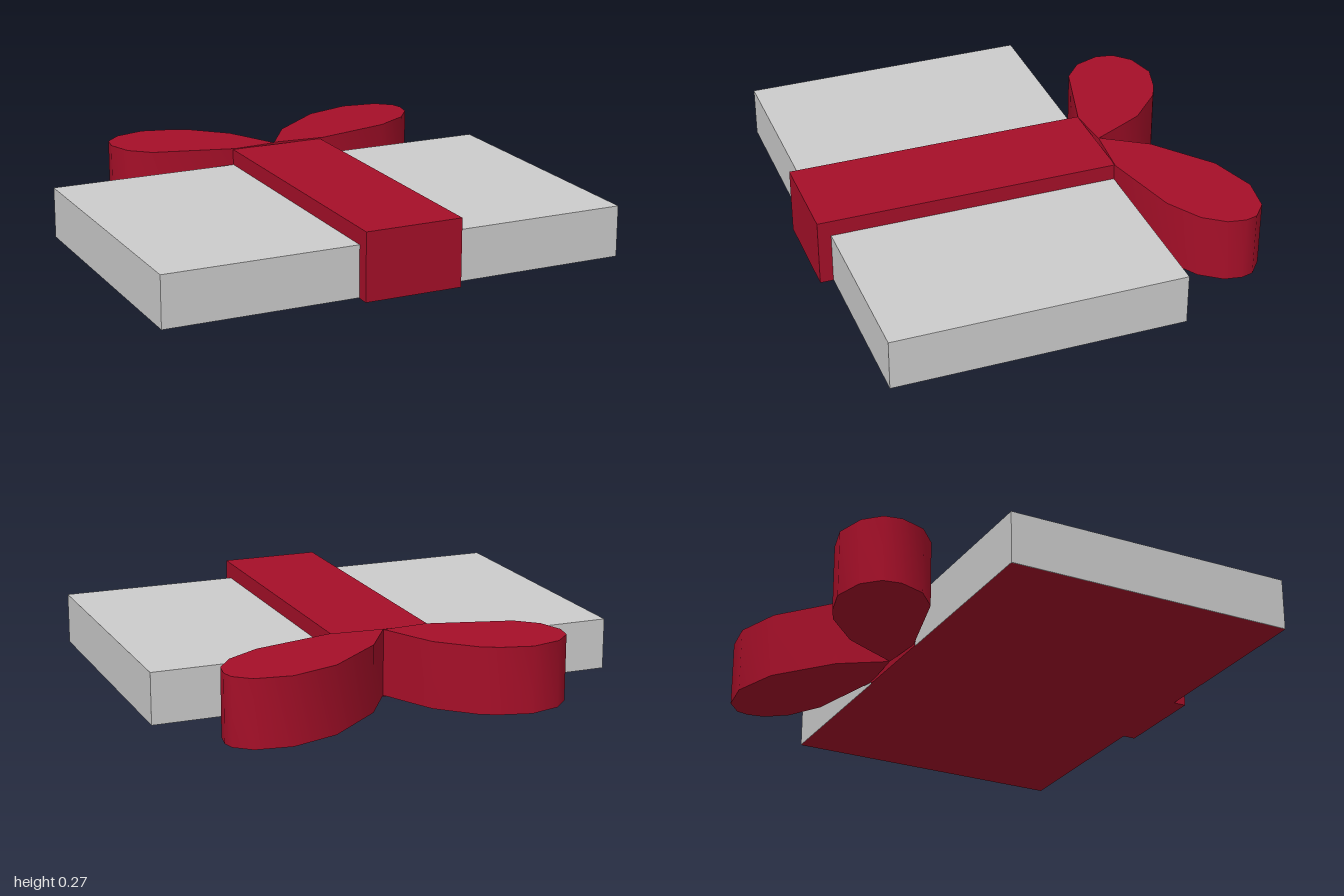
import * as THREE from 'three';
import { toCreasedNormals } from 'three/addons/utils/BufferGeometryUtils.js';

const grey = new THREE.MeshStandardMaterial({ color: 0xcccccc });
const red = new THREE.MeshStandardMaterial({ color: 0xa50f28 });

function part(name, geometry, material, parent) {
  const mesh = new THREE.Mesh(geometry, material);
  mesh.name = name;
  parent.add(mesh);
  return mesh;
}

// Upright prism from a plan outline given as [x, z] points
function prism(outline, y0, y1) {
  const shape = new THREE.Shape(outline.map(([x, z]) => new THREE.Vector2(x, -z)));
  const geo = new THREE.ExtrudeGeometry(shape, { depth: y1 - y0, bevelEnabled: false });
  geo.rotateX(-Math.PI / 2).translate(0, y0, 0);
  return toCreasedNormals(geo, 0.75);
}

export function createModel() {
  const model = new THREE.Group();
  model.name = 'giftBox';

  // Flat box with its ribbon, turned slightly about the vertical
  const parcel = new THREE.Group();
  parcel.name = 'parcel';
  parcel.position.z = 0.175;
  parcel.rotation.y = 0.176;
  model.add(parcel);

  const W = 1.828, D = 1.128, H = 0.2;
  part('box', new THREE.BoxGeometry(W, H - 0.002, D), grey, parcel).position.y = H / 2 + 0.001;
  part('redBase', new THREE.PlaneGeometry(W, D).rotateX(Math.PI / 2), red, parcel);

  // Ribbon over the top, overhanging the front edge
  const back = -0.567, front = 0.615, top = 0.262;
  const ribbon = part('ribbon', new THREE.BoxGeometry(0.383, top, front - back), red, parcel);
  ribbon.position.set(0.028, top / 2, (front + back) / 2);

  // Bow loops at the back edge
  const rightLoop = [
    [-0.08, -0.40], [-0.16, -0.51], [-0.22, -0.59], [-0.37, -0.69], [-0.44, -0.71], [-0.56, -0.72],
    [-0.67, -0.67], [-0.72, -0.60], [-0.72, -0.53], [-0.67, -0.44], [-0.58, -0.385], [-0.25, -0.355],
  ];
  const leftLoop = [
    [-0.08, -0.40], [0, -0.59], [0.18, -0.80], [0.35, -0.89], [0.49, -0.895], [0.56, -0.855],
    [0.58, -0.81], [0.58, -0.74], [0.535, -0.65], [0.42, -0.55], [0.13, -0.42],
  ];
  part('bowLoopRight', prism(rightLoop, 0.01, 0.265), red, model);
  part('bowLoopLeft', prism(leftLoop, 0.01, 0.267), red, model);

  return model;
}
